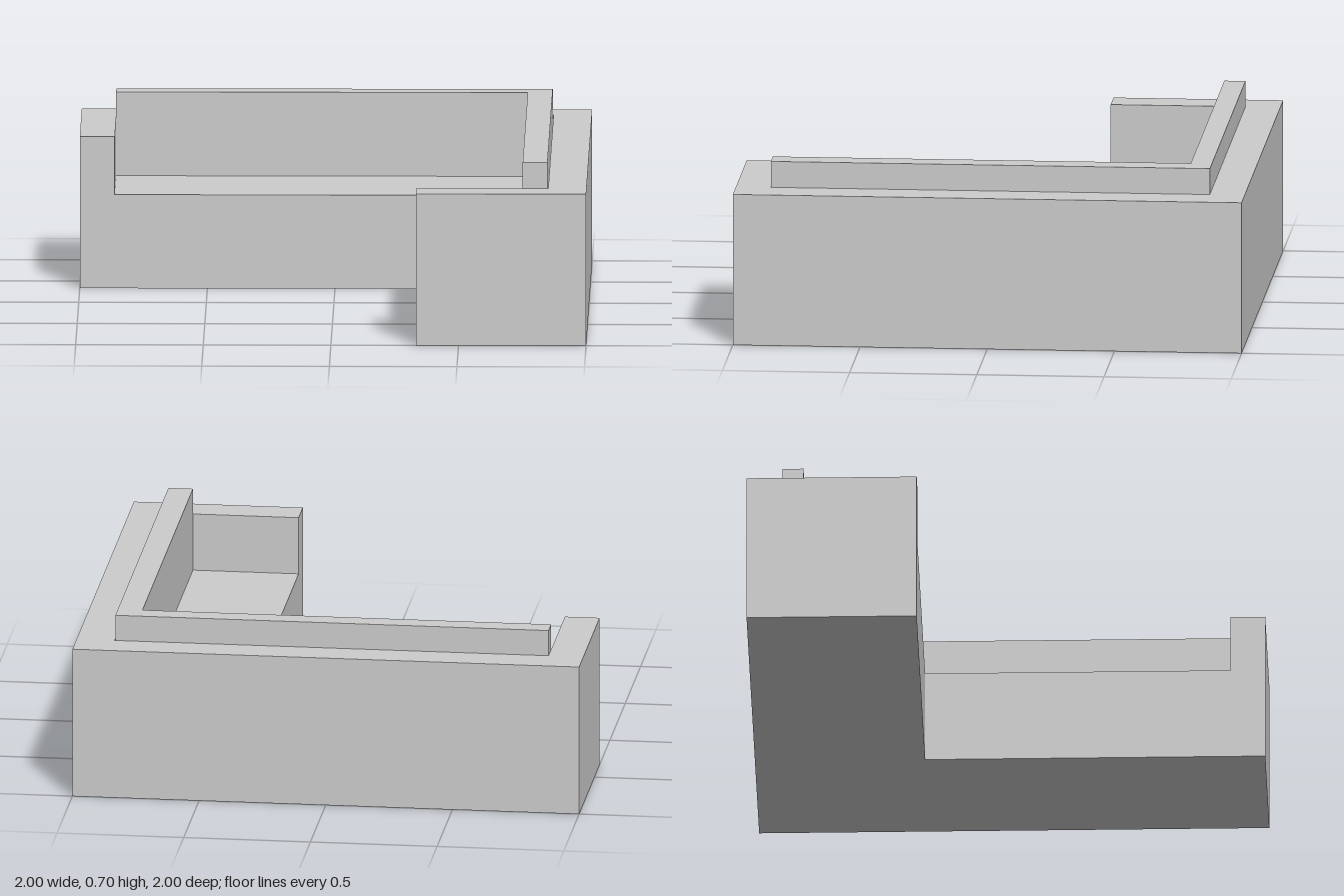
import * as THREE from 'three';

// Extrudes a plan outline of [x, z] points upwards from y0 to y1.
function slab(name, plan, y0, y1, material) {
  const shape = new THREE.Shape(plan.map(([x, z]) => new THREE.Vector2(x, -z)));
  const geometry = new THREE.ExtrudeGeometry(shape, { depth: y1 - y0, bevelEnabled: false });
  geometry.rotateX(-Math.PI / 2);
  geometry.translate(0, y0, 0);
  const mesh = new THREE.Mesh(geometry, material);
  mesh.name = name;
  return mesh;
}

export function createModel() {
  const sofa = new THREE.Group();
  sofa.name = 'cornerSofa';
  const fabric = new THREE.MeshStandardMaterial({ color: 0xcccccc });
  fabric.name = 'grey fabric';

  const seatY = 0.372, frameY = 0.602, cushionY = 0.705;
  const inner = 0.333; // front edge of the seats
  const arm = 0.863;   // inner face of the arms and rear frame
  const side = 0.85;   // inner face of the side frame

  // L-shaped seat down to the floor
  sofa.add(slab('seatBase', [
    [-1, -1], [1, -1], [1, 1], [inner, 1], [inner, -inner], [-1, -inner],
  ], 0, seatY, fabric));

  // Outer backrest frame with an arm at each end
  sofa.add(slab('frameAndArms', [
    [-1, -1], [1, -1], [1, 1], [inner, 1], [inner, arm], [side, arm],
    [side, -arm], [-arm, -arm], [-arm, -inner], [-1, -inner],
  ], seatY, frameY, fabric));

  // Taller back cushion running round the corner inside the frame
  sofa.add(slab('backCushion', [
    [-arm, -arm], [0.847, -arm], [0.847, arm], [0.75, arm], [0.75, -0.78], [-arm, -0.78],
  ], seatY, cushionY, fabric));

  return sofa;
}
